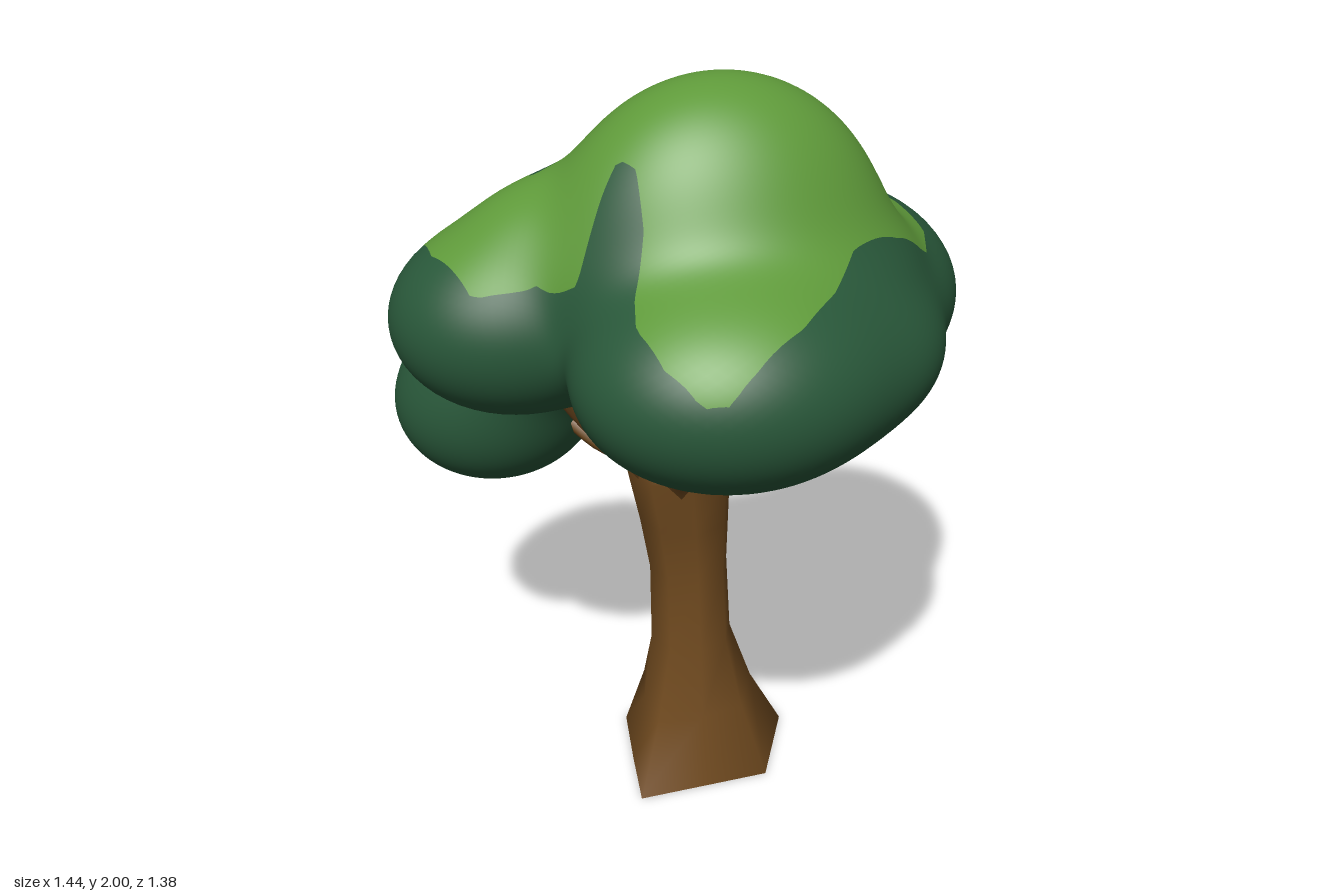
import * as THREE from 'three';
import { mergeVertices } from 'three/addons/utils/BufferGeometryUtils.js';

const bark = new THREE.MeshStandardMaterial({ color: 0x704a1f, side: THREE.DoubleSide });
bark.name = 'bark brown';
const darkLeaf = new THREE.MeshStandardMaterial({ color: 0x29583a });
darkLeaf.name = 'dark leaf green';
const lightLeaf = new THREE.MeshStandardMaterial({ color: 0x5f9a3a });
lightLeaf.name = 'light leaf green';

const V = (x, y, z) => new THREE.Vector3(x, y, z);

// Outline of the light green patch, seen from above (x, z)
const patch = [
  [-0.57, -0.29], [-0.62, -0.15], [-0.61, 0], [-0.54, 0.155], [-0.4, 0.2], [-0.32, 0.27], [-0.25, 0.23],
  [-0.21, 0.21], [-0.18, 0.25], [-0.18, 0.32], [-0.22, 0.4], [-0.235, 0.48], [-0.2, 0.59], [-0.14, 0.66],
  [-0.08, 0.675], [-0.02, 0.65], [0.1, 0.58], [0.2, 0.48], [0.28, 0.37], [0.42, 0.27], [0.55, 0.15], [0.59, 0.03],
  [0.56, -0.1], [0.48, -0.16], [0.35, -0.19], [0.28, -0.28], [0.2, -0.42], [0.1, -0.44], [0, -0.45],
  [-0.1, -0.43], [-0.18, -0.49], [-0.25, -0.51], [-0.42, -0.48], [-0.48, -0.4], [-0.46, -0.34],
];
// Small dark streak on the dome (x, z)
const streak = [[-0.35, -0.055], [-0.29, -0.075], [-0.2, -0.045]];

function segDist(x, z, a, b) {
  const dx = b[0] - a[0], dz = b[1] - a[1];
  const t = Math.min(1, Math.max(0, ((x - a[0]) * dx + (z - a[1]) * dz) / (dx * dx + dz * dz)));
  return Math.hypot(x - a[0] - dx * t, z - a[1] - dz * t);
}

// Positive inside the light patch, negative outside it
function lightness(p, minY) {
  let d = 9, inside = false;
  patch.forEach((a, i) => {
    const b = patch[(i + 1) % patch.length];
    d = Math.min(d, segDist(p.x, p.z, a, b));
    if ((a[1] > p.z) !== (b[1] > p.z) &&
      p.x < a[0] + ((p.z - a[1]) / (b[1] - a[1])) * (b[0] - a[0])) inside = !inside;
  });
  let s = 9;
  for (let i = 0; i < 2; i++) s = Math.min(s, segDist(p.x, p.z, streak[i], streak[i + 1]));
  return Math.min(inside ? d : -d, p.y - minY, s - 0.018);
}

// Smooth union of ellipsoids [cx, cy, cz, rx, ry, rz]
function field(p, blobs, k) {
  let sum = 0;
  for (const [cx, cy, cz, rx, ry, rz] of blobs) {
    const x = (p.x - cx) / rx, y = (p.y - cy) / ry, z = (p.z - cz) / rz;
    const a = Math.hypot(x, y, z), b = Math.hypot(x / rx, y / ry, z / rz) || 1;
    sum += Math.exp(-(a * (a - 1)) / b / k);
  }
  return -k * Math.log(sum + 1e-30);
}

// Foliage: a sphere shrunk onto the blobs, then cut along the colour border
function foliage(name, centre, blobs, detail, minY) {
  let ball = new THREE.IcosahedronGeometry(1, detail);
  ball.deleteAttribute('uv');
  ball.deleteAttribute('normal');
  ball = mergeVertices(ball, 1e-5);
  const src = ball.attributes.position, verts = [], k = 0.04, e = 0.015;
  for (let i = 0; i < src.count; i++) {
    const dir = V(0, 0, 0).fromBufferAttribute(src, i).normalize();
    const p = V(0, 0, 0);
    let t = 1.1;
    for (let s = 0; s < 50; s++) {
      const d = field(p.copy(centre).addScaledVector(dir, t), blobs, k);
      if (d < 0.0005) break;
      t = Math.max(0.02, t - d * 0.75);
    }
    p.copy(centre).addScaledVector(dir, t);
    const g = (x, y, z) => field(V(p.x + x, p.y + y, p.z + z), blobs, k) - field(V(p.x - x, p.y - y, p.z - z), blobs, k);
    verts.push({ p, n: V(g(e, 0, 0), g(0, e, 0), g(0, 0, e)).normalize(), f: lightness(p, minY) });
  }
  const group = new THREE.Group();
  group.name = name;
  for (const [sign, mat, part] of [[1, lightLeaf, 'lightLeaves'], [-1, darkLeaf, 'darkLeaves']]) {
    const pos = [], nor = [];
    for (let i = 0; i < ball.index.count; i += 3) {
      const tri = [0, 1, 2].map((j) => verts[ball.index.getX(i + j)]);
      const poly = [];
      tri.forEach((a, j) => {
        const b = tri[(j + 1) % 3];
        if (a.f * sign >= 0) poly.push(a);
        if (a.f * b.f < 0) {
          const t = a.f / (a.f - b.f);
          poly.push({ p: a.p.clone().lerp(b.p, t), n: a.n.clone().lerp(b.n, t).normalize() });
        }
      });
      for (let j = 1; j + 1 < poly.length; j++) {
        for (const v of [poly[0], poly[j], poly[j + 1]]) {
          pos.push(v.p.x, v.p.y, v.p.z);
          nor.push(v.n.x, v.n.y, v.n.z);
        }
      }
    }
    const geo = new THREE.BufferGeometry();
    geo.setAttribute('position', new THREE.Float32BufferAttribute(pos, 3));
    geo.setAttribute('normal', new THREE.Float32BufferAttribute(nor, 3));
    const mesh = new THREE.Mesh(geo, mat);
    mesh.name = part;
    group.add(mesh);
  }
  return group;
}

// Trunk: an angular open foot that turns into eight-sided rings [y, xMin, xMax, zMin, zMax]
function trunk() {
  const foot = [[0.02, 0.11], [0.2, 0.1], [0.315, -0.14], [0.17, -0.23], [0.02, -0.32], [-0.13, -0.25], [-0.15, -0.06], [-0.165, 0.12]];
  const rings = [
    [0.4, -0.085, 0.14, -0.2, 0.03], [0.62, -0.085, 0.13, -0.205, 0.02], [0.77, -0.11, 0.135, -0.22, 0.03],
    [0.93, -0.145, 0.135, -0.215, 0.055], [1.02, -0.12, 0.13, -0.2, 0.06], [1.07, -0.02, 0.02, -0.09, -0.05],
  ];
  let geo = new THREE.CylinderGeometry(1, 1, 1, 8, rings.length + 1, true);
  geo.deleteAttribute('uv');
  geo.deleteAttribute('normal');
  geo = mergeVertices(geo);
  const p = geo.attributes.position;
  for (let i = 0; i < p.count; i++) {
    const px = p.getX(i), pz = p.getZ(i);
    const row = Math.round((p.getY(i) + 0.5) * (rings.length + 1));
    const [y, x0, x1, z0, z1] = rings[Math.max(0, row - 2)];
    const ring = V((x0 + x1) / 2 + (px * (x1 - x0)) / 2, y, (z0 + z1) / 2 + (pz * (z1 - z0)) / 2);
    if (row < 2) {
      const [fx, fz] = foot[(Math.round(Math.atan2(px, pz) / (Math.PI / 4)) + 8) % 8];
      ring.lerp(V(fx, 0, fz), row === 0 ? 1 : 0.4);
      if (row === 1) ring.y = 0.2;
    }
    p.setXYZ(i, ring.x, ring.y, ring.z);
  }
  geo.computeVertexNormals();
  const mesh = new THREE.Mesh(geo, bark);
  mesh.name = 'trunk';
  return mesh;
}

// Tapered branch with a pointed tip
function branch(name, points, r0, r1) {
  const curve = new THREE.CatmullRomCurve3(points.map((q) => V(...q)));
  const rows = 7, sides = 7;
  const geo = new THREE.TubeGeometry(curve, rows, 1, sides);
  const p = geo.attributes.position, v = V(0, 0, 0);
  for (let i = 0; i < p.count; i++) {
    const row = Math.floor(i / (sides + 1)), c = curve.getPointAt(row / rows);
    const r = row === rows ? 0.002 : r0 + ((r1 - r0) * row) / (rows - 1);
    v.fromBufferAttribute(p, i).sub(c).multiplyScalar(r).add(c);
    p.setXYZ(i, v.x, v.y, v.z);
  }
  const mesh = new THREE.Mesh(geo, bark);
  mesh.name = name;
  return mesh;
}

export function createModel() {
  const tree = new THREE.Group();
  tree.name = 'tree';
  tree.add(trunk());
  tree.add(
    branch('rightBranch', [[0, 0.85, -0.08], [-0.09, 0.97, -0.08], [-0.2, 1.09, -0.06], [-0.33, 1.27, -0.04]], 0.075, 0.06),
    branch('rightTwig', [[-0.12, 1.0, -0.08], [-0.19, 0.99, -0.15], [-0.27, 1.03, -0.22]], 0.045, 0.025),
    branch('frontBranch', [[0, 0.85, -0.07], [-0.02, 0.97, 0.01], [-0.06, 1.1, 0.13], [-0.09, 1.26, 0.2]], 0.075, 0.052),
    branch('frontTwig', [[0, 1.0, 0], [0.08, 1.07, 0.08], [0.19, 1.18, 0.14]], 0.045, 0.025),
    branch('backBranch', [[0.03, 0.85, -0.09], [0.06, 0.98, -0.13], [0.14, 1.09, -0.22], [0.22, 1.27, -0.31]], 0.085, 0.065),
    branch('backTwig', [[0.13, 1.04, -0.2], [0.21, 1.05, -0.27], [0.3, 1.08, -0.35]], 0.04, 0.022),
  );
  tree.add(foliage('canopy', V(0, 1.45, 0), [
    [0, 1.39, 0.385, 0.36, 0.245, 0.31], // front lobe
    [0.38, 1.39, -0.14, 0.34, 0.245, 0.405], // back left lobe
    [0.19, 1.38, 0.2, 0.365, 0.22, 0.365], // filling between them
    [-0.41, 1.41, -0.05, 0.31, 0.235, 0.27], // right lobe
    [0.05, 1.58, 0.09, 0.4, 0.415, 0.295], // dome
    [0.08, 1.53, 0.1, 0.42, 0.2, 0.33], // dome skirt
    [-0.24, 1.56, -0.02, 0.29, 0.2, 0.2], // slope to the right lobe
    [-0.06, 1.42, -0.16, 0.33, 0.2, 0.225], // back filling
    [-0.3, 1.36, -0.26, 0.2, 0.17, 0.18], // joint with the lower lobe
  ], 32, 1.4));
  tree.add(foliage('lowerLobe', V(-0.37, 1.12, -0.4), [
    [-0.44, 1.015, -0.44, 0.265, 0.22, 0.235],
    [-0.38, 1.12, -0.42, 0.25, 0.22, 0.23],
    [-0.31, 1.28, -0.29, 0.215, 0.21, 0.2],
  ], 24, 1.28));
  return tree;
}
